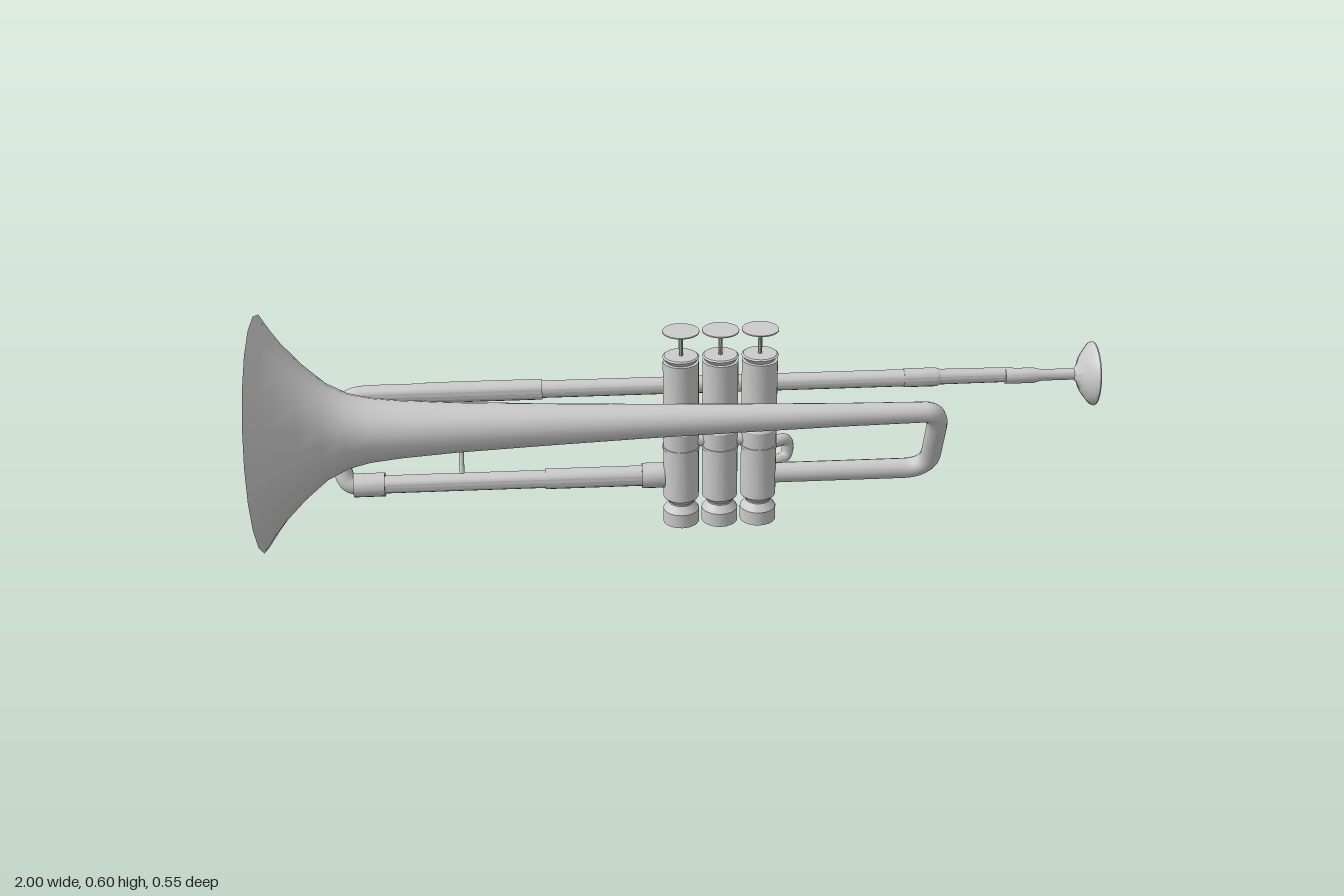
import * as THREE from 'three';
import { toCreasedNormals } from 'three/addons/utils/BufferGeometryUtils.js';

const metal = new THREE.MeshStandardMaterial({ color: 0xcccccc });
const metalThin = new THREE.MeshStandardMaterial({ color: 0xcccccc, side: THREE.DoubleSide });
const V = (x, y, z) => new THREE.Vector3(x, y, z);

// turned part about the y axis, from [radius, height] pairs, bottom to top
function turned(profile, sides = 20, crease = 0.5) {
  const geo = new THREE.LatheGeometry(profile.map(([r, h]) => new THREE.Vector2(r, h)), sides);
  return crease ? toCreasedNormals(geo, crease) : geo;
}

// path of straight runs with rounded corners
function roundedPath(points, radius) {
  const path = new THREE.CurvePath();
  let last = points[0];
  for (let i = 1; i < points.length - 1; i++) {
    const p = points[i];
    const toward = (q) => p.clone().add(
      q.clone().sub(p).setLength(Math.min(radius, q.distanceTo(p) * 0.499)));
    const a = toward(points[i - 1]), b = toward(points[i + 1]);
    path.add(new THREE.LineCurve3(last, a));
    path.add(new THREE.QuadraticBezierCurve3(a, p, b));
    last = b;
  }
  path.add(new THREE.LineCurve3(last, points[points.length - 1]));
  return path;
}

export function createModel() {
  const group = new THREE.Group();
  const add = (name, geo, material = metal, parent = group) => {
    const mesh = new THREE.Mesh(geo, material);
    mesh.name = name;
    parent.add(mesh);
    return mesh;
  };
  // turned part lying along x, from [radius, x] pairs
  const along = (name, y, z, profile, sides = 16) => {
    const mesh = add(name, turned(profile, sides).rotateZ(-Math.PI / 2));
    mesh.position.set(0, y, z);
    return mesh;
  };
  const pipe = (name, points, radius, corner, segments = 64) =>
    add(name, new THREE.TubeGeometry(roundedPath(points, corner), segments, radius, 12), metalThin);

  // flared bell, an open thin shell
  const bell = add('bell', turned([
    [0.277, -1], [0.24, -0.975], [0.207, -0.95], [0.155, -0.9], [0.113, -0.85],
    [0.088, -0.8], [0.076, -0.75], [0.068, -0.68], [0.059, -0.55], [0.05, -0.35],
    [0.041, -0.12], [0.034, 0.12], [0.028, 0.35], [0.025, 0.54],
  ], 20, 0).rotateZ(-Math.PI / 2).rotateX(0.12), metalThin);
  bell.position.y = 0.32;

  // bow from the bell down into the third valve
  pipe('bellBow', [V(0.52, 0.32, 0), V(0.588, 0.32, 0), V(0.588, 0.12, -0.097),
    V(0.18, 0.12, -0.097)], 0.025, 0.065, 90);

  // lower tuning tube with its end sleeves
  along('tuningTube', 0.122, -0.1, [
    [0, -0.81], [0.029, -0.81], [0.029, -0.735], [0.022, -0.735], [0.022, -0.35],
    [0.025, -0.35], [0.025, -0.115], [0.031, -0.115], [0.031, -0.06], [0.025, -0.06], [0.025, -0.03],
  ]);

  // bow joining the tuning tube to the lead pipe
  pipe('tuningBow', [V(-0.77, 0.122, -0.1), V(-0.836, 0.122, -0.1),
    V(-0.836, 0.328, -0.174), V(-0.72, 0.328, -0.174)], 0.022, 0.062, 70);

  // lead pipe, stepping down towards the mouthpiece
  along('leadPipe', 0.328, -0.174, [
    [0.023, -0.78], [0.023, -0.63], [0.025, -0.63], [0.025, -0.35], [0.021, -0.35],
    [0.021, 0.53], [0.023, 0.53], [0.023, 0.61], [0.019, 0.62], [0.018, 0.8], [0, 0.8],
  ]);

  // mouthpiece
  along('mouthpiece', 0.327, -0.168, [
    [0, 0.78], [0.019, 0.78], [0.019, 0.85], [0.014, 0.87], [0.014, 0.95], [0.022, 0.958],
    [0.045, 0.967], [0.064, 0.98], [0.076, 0.99], [0.079, 0.997], [0.078, 1], [0, 1],
  ], 24);

  // three valves, each with casing, stem and finger button
  const casing = turned([
    [0, 0], [0.044, 0], [0.044, 0.035], [0.031, 0.053], [0.031, 0.057], [0.043, 0.07],
    [0.043, 0.2], [0.045, 0.2], [0.045, 0.207], [0.043, 0.207], [0.043, 0.25],
    [0.034, 0.264], [0.034, 0.27], [0.043, 0.285], [0.043, 0.43], [0.036, 0.431],
    [0.044, 0.442], [0.04, 0.445], [0, 0.445],
  ]);
  const stem = turned([[0.005, 0.44], [0.005, 0.498]], 10);
  const button = turned([[0, 0.495], [0.012, 0.496], [0.044, 0.505], [0.044, 0.508], [0, 0.508]]);
  const valveX = [-0.02, 0.074, 0.168];
  valveX.forEach((x, i) => {
    const valve = new THREE.Group();
    valve.name = 'valve' + (i + 1);
    valve.position.set(x, 0, -0.092);
    add('casing', casing, metal, valve);
    add('stem', stem, metal, valve);
    add('button', button, metal, valve);
    group.add(valve);
  });

  // short tubes linking neighbouring valves
  for (const x of [0.027, 0.121]) {
    const link = add('valveLink', new THREE.CylinderGeometry(0.016, 0.016, 0.03, 12).rotateZ(Math.PI / 2));
    link.position.set(x, 0.22, -0.092);
  }

  // valve slides: a loop leaving each valve at two heights
  const top = 0.156, low = 0.102;
  pipe('secondValveSlide', [V(0.074, top, -0.11), V(0.07, top, -0.187),
    V(0.07, low, -0.187), V(0.074, low, -0.11)], 0.015, 0.022, 48);
  pipe('thirdValveSlide', [V(0.165, top, -0.115), V(0.185, top, -0.168), V(0.254, top, -0.212),
    V(0.254, low, -0.212), V(0.185, low, -0.168), V(0.165, low, -0.115)], 0.015, 0.024, 80);

  // thin brace between tuning tube and lead pipe
  pipe('brace', [V(-0.55, 0.125, -0.1), V(-0.55, 0.225, -0.137), V(-0.55, 0.325, -0.174)],
    0.006, 0.01, 8);

  return group;
}
